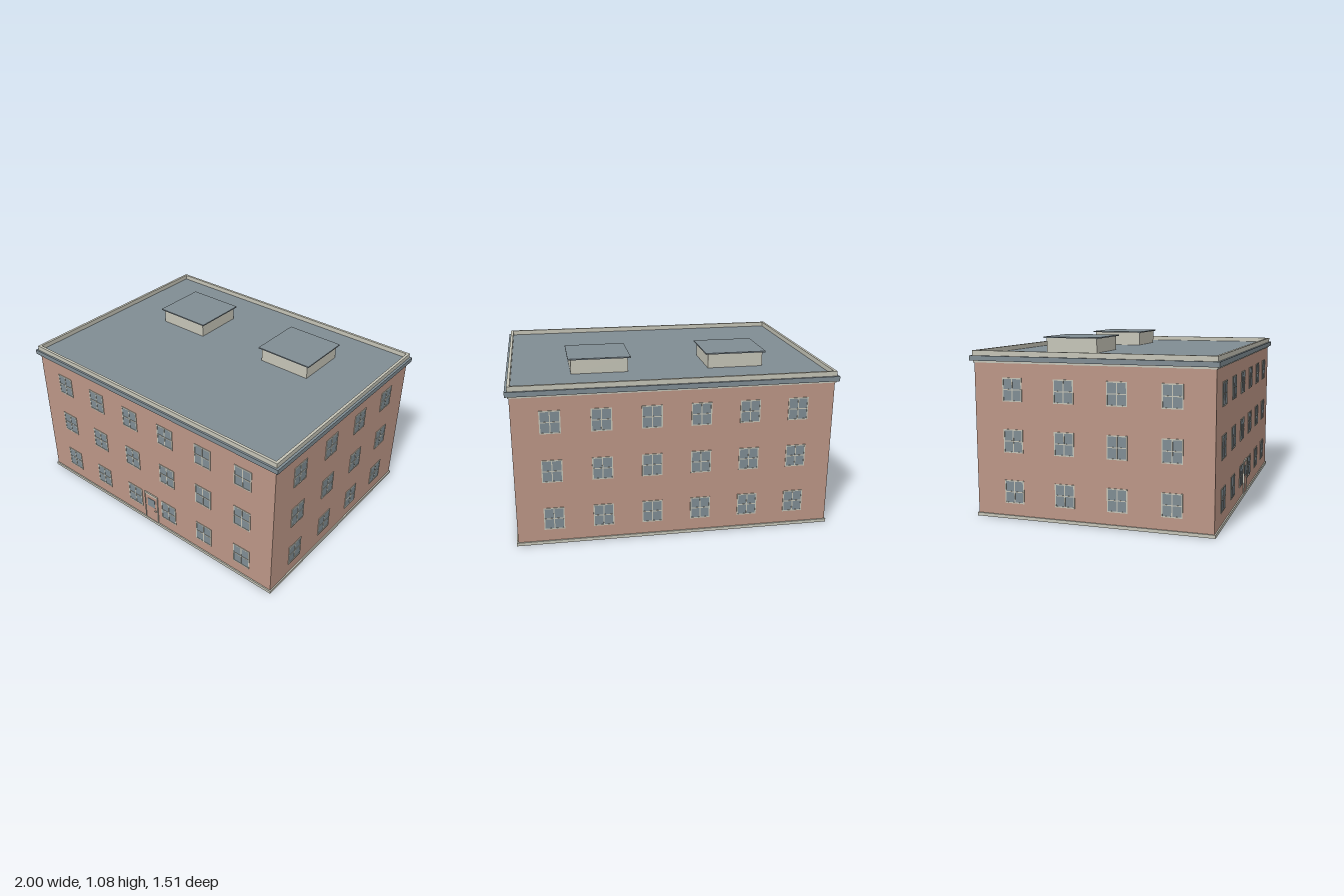
import * as THREE from 'three';

const material = (name, color) => {
  const m = new THREE.MeshStandardMaterial({ color });
  m.name = name;
  return m;
};

export function createModel() {
  const brick = material('brick', 0xbc9686);
  const stone = material('stone', 0xc5c4b7);
  const slate = material('slate', 0x7f8c93);
  const model = new THREE.Group();
  model.name = 'building';

  const add = (parent, name, geometry, mat, x = 0, y = 0, z = 0) => {
    const mesh = new THREE.Mesh(geometry, mat);
    mesh.name = name;
    mesh.position.set(x, y, z);
    parent.add(mesh);
    return mesh;
  };
  // Box spanning y0..y1
  const block = (parent, name, mat, w, d, y0, y1, x = 0, z = 0) =>
    add(parent, name, new THREE.BoxGeometry(w, y1 - y0, d), mat, x, (y0 + y1) / 2, z);

  const rect = (Type, x0, y0, x1, y1) => {
    const p = new Type();
    p.moveTo(x0, y0);
    p.lineTo(x1, y0);
    p.lineTo(x1, y1);
    p.lineTo(x0, y1);
    p.closePath();
    return p;
  };

  // Body, plinth and stacked cornice
  const halfW = 0.977, halfD = 0.734;
  block(model, 'plinth', stone, 1.97, 1.484, 0, 0.02);
  block(model, 'walls', brick, halfW * 2, halfD * 2, 0.02, 0.94);
  block(model, 'corniceMoulding', stone, 1.966, 1.48, 0.94, 0.952);
  block(model, 'corniceBand', slate, 2, 1.51, 0.952, 0.982);

  // Open parapet ring around the flat roof
  const ring = rect(THREE.Shape, -0.985, -0.743, 0.985, 0.743);
  ring.holes.push(rect(THREE.Path, -0.968, -0.726, 0.968, 0.726));
  const parapet = new THREE.ExtrudeGeometry(ring, { depth: 0.03, bevelEnabled: false });
  parapet.rotateX(-Math.PI / 2);
  add(model, 'parapet', parapet, stone, 0, 0.982, 0);

  // Roof hatches with overhanging caps
  for (const side of [-1, 1]) {
    const hatch = new THREE.Group();
    hatch.name = 'roofHatch';
    hatch.position.set(side * 0.43, 0, -0.265);
    block(hatch, 'hatchBase', stone, 0.352, 0.336, 0.982, 1.072);
    block(hatch, 'hatchCap', slate, 0.386, 0.365, 1.072, 1.08);
    model.add(hatch);
  }

  // Shared window: framed sash with four panes
  const w = 0.0625, h = 0.071, rim = 0.007, bar = 0.003;
  const sash = rect(THREE.Shape, -w, -h, w, h);
  for (const sx of [-1, 1]) for (const sy of [-1, 1]) {
    const xs = [sx * bar, sx * (w - rim)].sort((a, b) => a - b);
    const ys = [sy * bar, sy * (h - rim)].sort((a, b) => a - b);
    sash.holes.push(rect(THREE.Path, xs[0], ys[0], xs[1], ys[1]));
  }
  const frameGeo = new THREE.ExtrudeGeometry(sash, { depth: 0.004, bevelEnabled: false });
  const glassGeo = new THREE.BoxGeometry(2 * (w - 0.002), 2 * (h - 0.002), 0.002);

  // One facade of windows per wall, turned to face outward
  const floors = [0.166, 0.476, 0.784];
  const facade = (name, angle, dist, columns, spacing) => {
    const group = new THREE.Group();
    group.name = name;
    group.rotation.y = angle;
    for (const y of floors) for (let i = 0; i < columns; i++) {
      const win = new THREE.Group();
      win.name = 'window';
      win.position.set((i - (columns - 1) / 2) * spacing, y, dist);
      add(win, 'windowFrame', frameGeo, stone);
      add(win, 'windowGlass', glassGeo, slate, 0, 0, 0.001);
      group.add(win);
    }
    model.add(group);
  };
  facade('frontWindows', 0, halfD, 6, 0.301);
  facade('backWindows', Math.PI, halfD, 6, 0.301);
  facade('leftWindows', Math.PI / 2, halfW, 4, 0.326);
  facade('rightWindows', -Math.PI / 2, halfW, 4, 0.326);

  // Front door with slim jambs, lintel, pane and handle
  const door = new THREE.Group();
  door.name = 'frontDoor';
  door.position.set(-0.003, 0, halfD);
  block(door, 'doorLeaf', brick, 0.106, 0.004, 0.02, 0.23, 0, 0.002);
  for (const side of [-1, 1])
    block(door, 'doorJamb', stone, 0.005, 0.008, 0.02, 0.232, side * 0.0545, 0.004);
  block(door, 'doorLintel', stone, 0.116, 0.008, 0.23, 0.244, 0, 0.004);
  block(door, 'doorGlass', slate, 0.064, 0.002, 0.134, 0.2, 0, 0.005);
  block(door, 'doorHandle', stone, 0.012, 0.008, 0.109, 0.117, 0.036, 0.007);
  model.add(door);

  return model;
}
